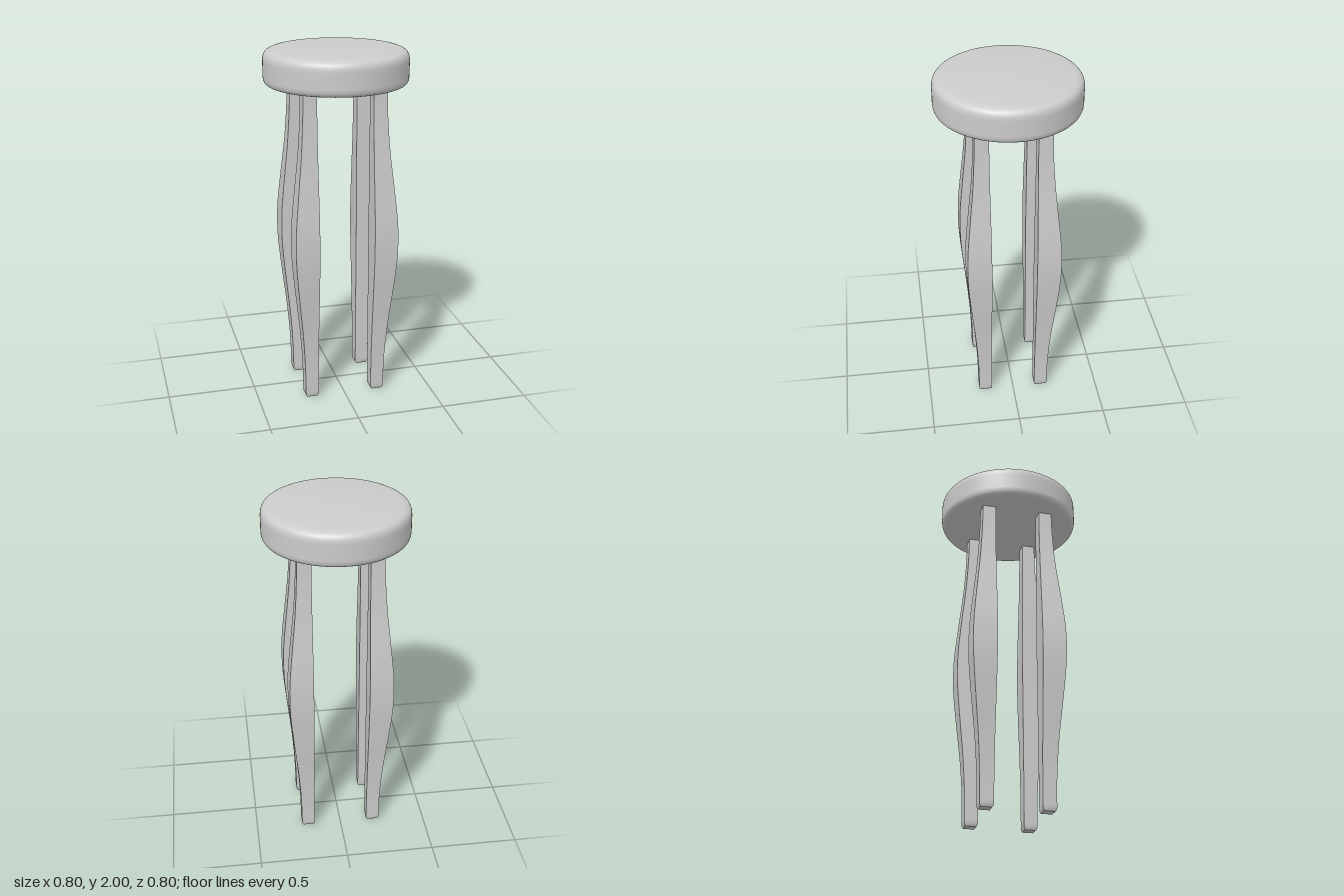
import * as THREE from 'three';

const material = new THREE.MeshStandardMaterial({ color: 0xcccccc });

// Outward bulge of a leg (0 to 1) at rising heights
const bulgeCurve = new THREE.SplineCurve([
  [0.0, 0], [0.2, 0.06], [0.4, 0.28], [0.6, 0.62], [0.8, 0.93], [0.93, 1],
  [1.06, 0.93], [1.25, 0.62], [1.45, 0.27], [1.65, 0.06], [1.82, 0],
].map(([y, b]) => new THREE.Vector2(b, y)));

// Round cushioned seat with a softly domed top
function createSeat() {
  const profile = new THREE.Path();
  profile.moveTo(0, 1.79);
  profile.lineTo(0.345, 1.79);
  profile.bezierCurveTo(0.385, 1.79, 0.396, 1.802, 0.398, 1.835);
  profile.lineTo(0.398, 1.92);
  profile.bezierCurveTo(0.398, 1.965, 0.38, 1.977, 0.34, 1.983);
  profile.bezierCurveTo(0.22, 1.995, 0.1, 2, 0, 2);
  const seat = new THREE.Mesh(new THREE.LatheGeometry(profile.getPoints(12), 96), material);
  seat.name = 'seat';
  return seat;
}

// Square leg: straight inner faces, outer faces swelling towards mid height
function createLeg(sx, sz) {
  const rows = 40;
  const geometry = new THREE.BoxGeometry(1, 1, 1, 1, rows, 1);
  const pos = geometry.attributes.position;
  for (let i = 0; i < pos.count; i++) {
    const row = Math.round((pos.getY(i) + 0.5) * rows);
    // The two lowest rows form the small bevel of the foot
    const p = bulgeCurve.getPoint(Math.max(0, row - 1) / (rows - 1));
    const y = row === 0 ? 0 : Math.max(p.y, 0.014);
    const inset = row === 0 ? 0.007 : 0;
    const outerX = pos.getX(i) * sx > 0;
    const outerZ = pos.getZ(i) * sz > 0;
    const x = outerX ? 0.231 + 0.059 * p.x - inset : 0.156 + inset;
    const z = outerZ ? 0.204 + 0.057 * p.x - inset : 0.129 - 0.003 * p.x + inset;
    pos.setXYZ(i, sx * x, y, sz * z);
  }
  geometry.computeVertexNormals();
  const leg = new THREE.Mesh(geometry, material);
  leg.name = (sz > 0 ? 'front' : 'back') + (sx > 0 ? 'Left' : 'Right') + 'Leg';
  return leg;
}

export function createModel() {
  const stool = new THREE.Group();
  stool.name = 'stool';
  stool.add(createSeat());
  for (const sx of [-1, 1]) for (const sz of [-1, 1]) stool.add(createLeg(sx, sz));
  return stool;
}
